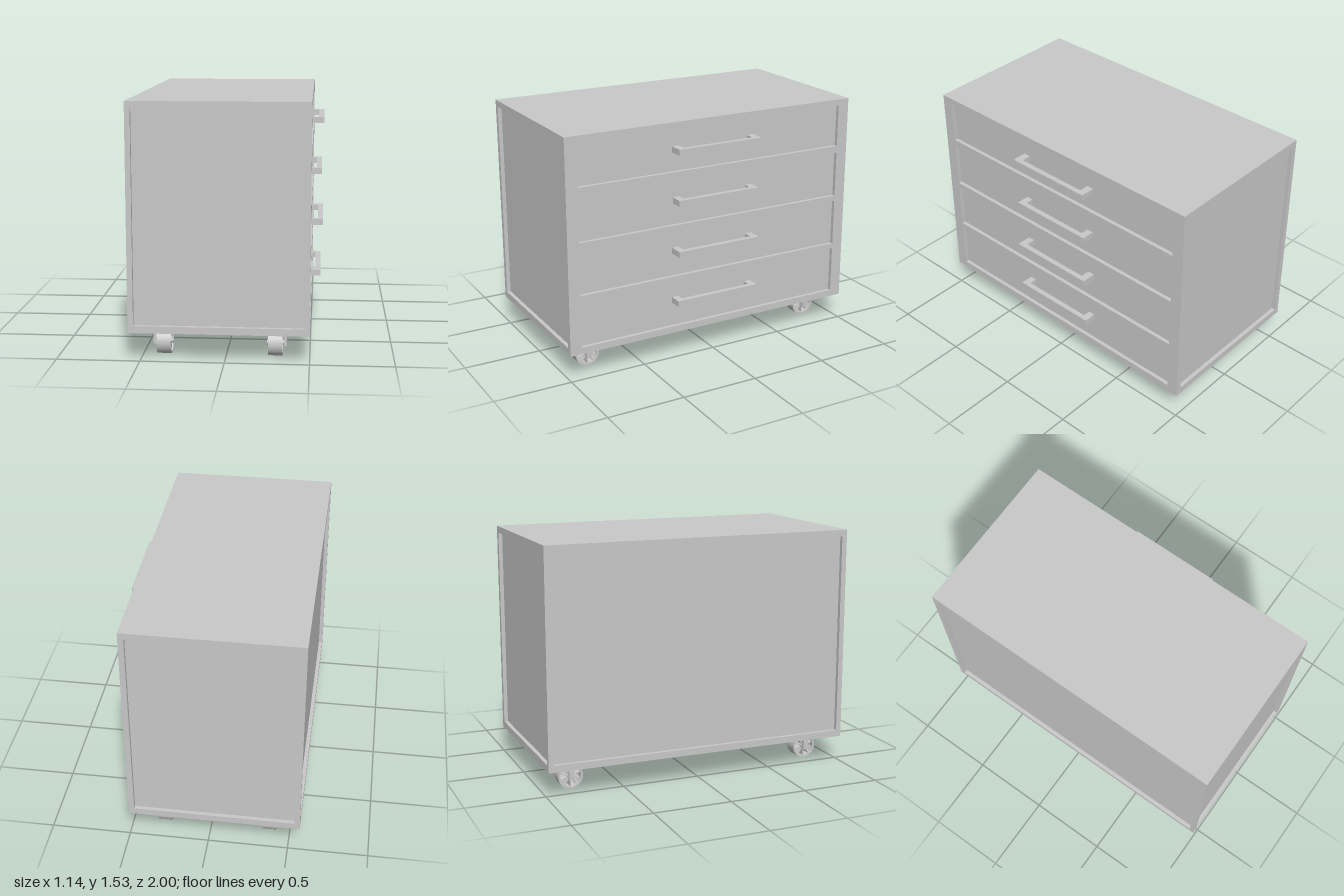
import * as THREE from 'three';

export function createModel() {
  const model = new THREE.Group();
  model.name = 'drawerCabinet';
  const grey = new THREE.MeshStandardMaterial({ color: 0xc8c8c8 });
  grey.name = 'light grey';

  function add(parent, name, geometry) {
    const mesh = new THREE.Mesh(geometry, grey);
    mesh.name = name;
    parent.add(mesh);
    return mesh;
  }
  // Box given by its limits on each axis
  function block(parent, name, [x0, x1], [y0, y1], [z0, z1]) {
    const mesh = add(parent, name, new THREE.BoxGeometry(x1 - x0, y1 - y0, z1 - z0));
    mesh.position.set((x0 + x1) / 2, (y0 + y1) / 2, (z0 + z1) / 2);
    return mesh;
  }

  // Cabinet: recessed panels inside a frame
  block(model, 'innerPanels', [-0.545, 0.468], [0.19, 1.51], [-0.975, 0.975]);
  block(model, 'topBoard', [-0.57, 0.5], [1.493, 1.535], [-1, 1]);
  block(model, 'bottomBoard', [-0.57, 0.5], [0.17, 0.213], [-1, 1]);
  for (const s of [-1, 1]) {
    const span = (a, b) => (s > 0 ? [a, b] : [-b, -a]);
    block(model, 'drawerSidePost', [0.465, 0.5], [0.213, 1.493], span(0.925, 1));
    block(model, 'rearPost', [-0.57, -0.537], [0.213, 1.493], span(0.967, 1));
  }
  for (const [y0, y1] of [[1.18, 1.225], [0.85, 0.885], [0.515, 0.55]]) {
    block(model, 'drawerRail', [0.46, 0.5], [y0, y1], [-0.925, 0.925]);
  }

  // Drawers: limits in y, then handle height, reach and half length
  const drawers = [
    [1.225, 1.493, 1.363, 0.57, 0.288],
    [0.885, 1.18, 1.04, 0.56, 0.282],
    [0.55, 0.85, 0.715, 0.57, 0.288],
    [0.213, 0.515, 0.385, 0.557, 0.288],
  ];
  for (const [y0, y1, handleY, reach, half] of drawers) {
    const drawer = new THREE.Group();
    drawer.name = 'drawer';
    model.add(drawer);
    block(drawer, 'drawerFront', [0.46, 0.476], [y0, y1], [-0.925, 0.925]);
    // Square U-shaped pull, drawn in plan and extruded upwards
    const base = 0.47, inner = reach - 0.033, leg = half - 0.045;
    const outline = [
      [base, -half], [reach, -half], [reach, half], [base, half],
      [base, leg], [inner, leg], [inner, -leg], [base, -leg],
    ];
    const shape = new THREE.Shape(outline.map(([x, z]) => new THREE.Vector2(x, z)));
    const pull = new THREE.ExtrudeGeometry(shape, { depth: 0.038, bevelEnabled: false });
    pull.rotateX(-Math.PI / 2);
    add(drawer, 'handle', pull).position.y = handleY - 0.019;
  }

  // Ring with its axis along x, centred on the origin
  function ring(outer, inner, width) {
    const shape = new THREE.Shape();
    shape.absarc(0, 0, outer, 0, Math.PI * 2, false);
    const hole = new THREE.Path();
    hole.absarc(0, 0, inner, 0, Math.PI * 2, true);
    shape.holes.push(hole);
    const geometry = new THREE.ExtrudeGeometry(shape, {
      depth: width, bevelEnabled: false, curveSegments: 36,
    });
    return geometry.translate(0, 0, -width / 2).rotateY(Math.PI / 2);
  }

  // Casters: the arm stands on the outer side of each wheel
  const wheelRadius = 0.079;
  function caster(x, z, side) {
    const group = new THREE.Group();
    group.name = 'caster';
    group.position.set(x, 0, z);
    model.add(group);
    const plate = add(group, 'mountingPlate', new THREE.CylinderGeometry(0.115, 0.115, 0.008, 40));
    plate.position.y = 0.168;

    const wheel = new THREE.Group();
    wheel.name = 'wheel';
    wheel.position.y = wheelRadius;
    group.add(wheel);
    add(wheel, 'tyre', ring(wheelRadius, 0.066, 0.086));
    add(wheel, 'hub', new THREE.CylinderGeometry(0.02, 0.02, 0.08, 20).rotateZ(Math.PI / 2));
    for (let i = 0; i < 10; i++) {
      const spoke = add(wheel, 'spoke', new THREE.BoxGeometry(0.07, 0.054, 0.007).translate(0, 0.043, 0));
      spoke.rotation.x = (i * Math.PI) / 5;
    }
    const axle = add(wheel, 'axle', new THREE.CylinderGeometry(0.015, 0.015, 0.118, 20).rotateZ(Math.PI / 2));
    axle.position.x = side * 0.008;

    const arm = add(group, 'arm', new THREE.BoxGeometry(0.02, 0.108, 0.034));
    arm.position.set(side * 0.059, 0.114, 0);
  }
  for (const z of [-0.815, 0.815]) {
    caster(-0.372, z, -1);
    caster(0.295, z, 1);
  }

  return model;
}
